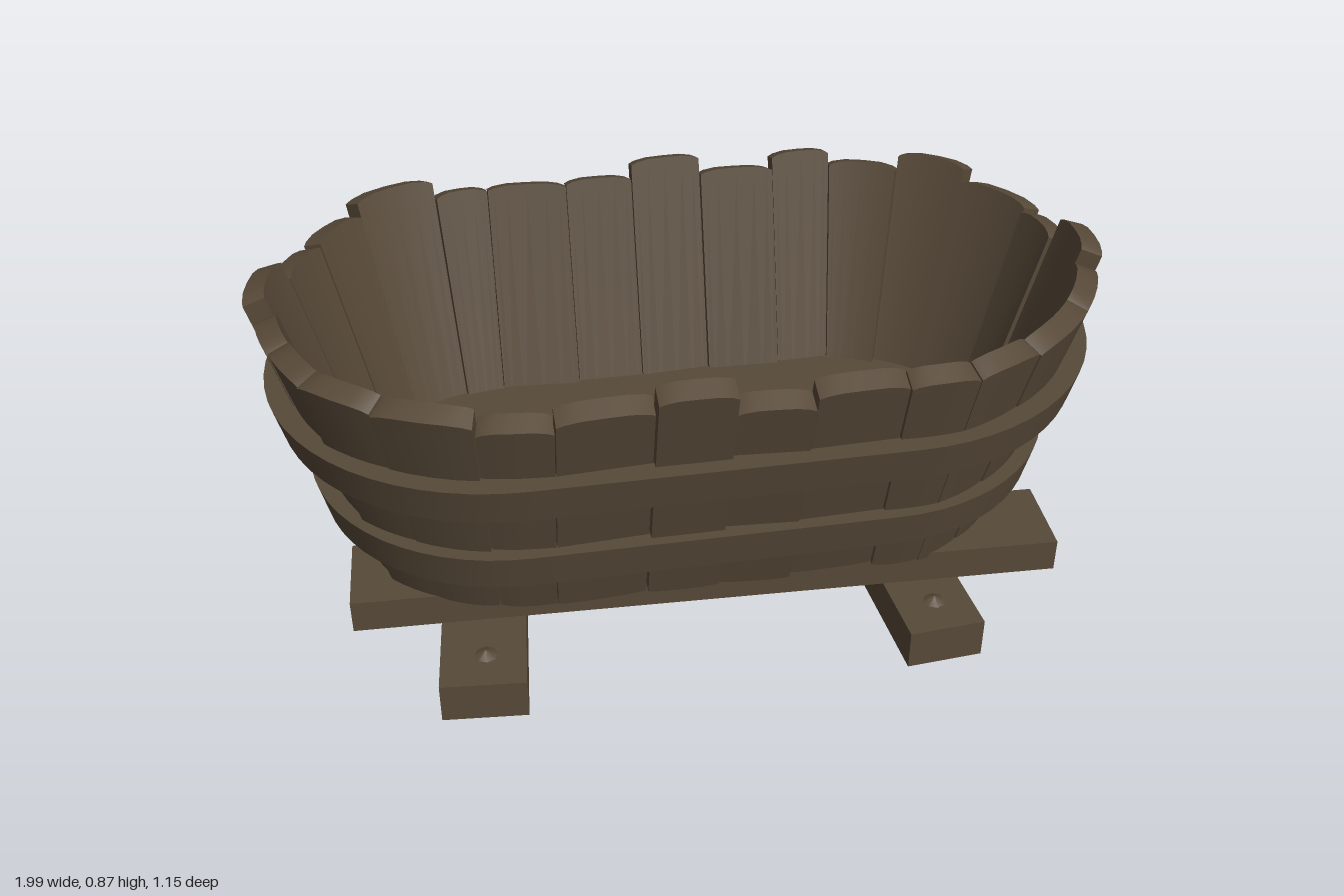
import * as THREE from 'three';
import { toCreasedNormals } from 'three/addons/utils/BufferGeometryUtils.js';

const HALF = 0.42; // half length of the straight sides

// Point on a stadium outline of radius r. s: 0-84 front, 84-264 right end (degrees),
// 264-348 back, 348-528 left end (degrees).
function outline(s, r, y) {
  s = (s + 528) % 528;
  if (s < 84) return [s / 100 - HALF, y, r];
  if (s < 264) {
    const a = THREE.MathUtils.degToRad(s - 84);
    return [HALF + r * Math.sin(a), y, r * Math.cos(a)];
  }
  if (s < 348) return [HALF - (s - 264) / 100, y, -r];
  const a = THREE.MathUtils.degToRad(s - 348);
  return [-HALF - r * Math.sin(a), y, -r * Math.cos(a)];
}

// Outer wall radius at a height
const wall = (y) => 0.38 + (y - 0.2) * 0.283;

// Skins four-cornered cross-sections (outer bottom, outer top, inner top, inner bottom)
function loft(sections, closed) {
  const pos = [];
  const tri = (a, b, c) => pos.push(...a, ...b, ...c);
  const n = sections.length;
  for (let i = 0; i < (closed ? n : n - 1); i++) {
    const p = sections[i], q = sections[(i + 1) % n];
    for (let k = 0; k < 4; k++) {
      const l = (k + 1) % 4;
      tri(p[k], q[k], q[l]);
      tri(p[k], q[l], p[l]);
    }
  }
  if (!closed) {
    const p = sections[0], q = sections[n - 1];
    tri(p[0], p[1], p[2]); tri(p[0], p[2], p[3]);
    tri(q[0], q[2], q[1]); tri(q[0], q[3], q[2]);
  }
  const g = new THREE.BufferGeometry();
  g.setAttribute('position', new THREE.Float32BufferAttribute(pos, 3));
  return toCreasedNormals(g, 0.5);
}

// One slanting stave from s0 to s1; skew pushes one edge out and the other in
function staveGeometry(s0, s1, top, bottom, offset, skew) {
  const a = s0 + 0.12, b = s1 - 0.12;
  const thick = 0.055;
  const steps = [0, 0.08, 0.25, 0.5, 0.75, 0.92, 1];
  return loft(steps.map((t) => {
    const s = a + (b - a) * t;
    const drop = 0.012 * Math.pow(Math.abs(2 * t - 1), 4);
    const yo = top - 0.018 - drop, yi = top - drop;
    const yb = bottom + drop * 0.5, yc = yb + 0.012;
    const o = offset + skew * (2 * t - 1);
    return [
      outline(s, wall(yb) + o, yb),
      outline(s, wall(yo) + o, yo),
      outline(s, wall(yi) + o - thick, yi),
      outline(s, wall(yc) + o - thick, yc),
    ];
  }), false);
}

// Hoop around the wall, r0 and r1 being its outer radii at the heights y0 and y1
function hoopGeometry(y0, r0, y1, r1) {
  const sections = [];
  for (let s = 0; s < 528; s += 6) {
    sections.push([
      outline(s, r0, y0), outline(s, r1, y1),
      outline(s, wall(y1) - 0.01, y1), outline(s, wall(y0) - 0.01, y0),
    ]);
  }
  return loft(sections, true);
}

export function createModel() {
  const model = new THREE.Group();
  const wood = new THREE.MeshStandardMaterial({ color: 0x574938 });
  wood.name = 'dark wood';

  const add = (geometry, name, x = 0, y = 0, z = 0, turn = 0) => {
    const mesh = new THREE.Mesh(geometry, wood);
    mesh.name = name;
    mesh.position.set(x, y, z);
    mesh.rotation.y = turn;
    model.add(mesh);
    return mesh;
  };

  // Staves: start along the outline, top height
  const staves = [
    [6, 0.835], [27, 0.872], [44, 0.81], [61, 0.84], [81, 0.84], [97, 0.842], [115, 0.84],
    [140, 0.835], [161, 0.872], [178, 0.825], [194, 0.835], [217, 0.865],
    [237, 0.835], [257, 0.862], [273, 0.835], [292, 0.872], [310, 0.835], [327, 0.835],
    [347, 0.835], [362, 0.872], [385, 0.84], [403, 0.83], [421, 0.872], [439, 0.83],
    [455, 0.835], [474, 0.85], [494, 0.845], [517, 0.815],
  ];
  staves.forEach(([s, top], i) => {
    const next = i + 1 < staves.length ? staves[i + 1][0] : 528 + staves[0][0];
    const bottom = 0.189 + 0.004 * ((i * 3) % 5);
    const offset = top > 0.86 ? 0.007 : 0.003 * ((i * 2) % 3) - 0.003;
    const skew = 0.003 * (((i * 2) % 5) - 2);
    add(staveGeometry(s, next, top, bottom, offset, skew), 'stave');
  });

  // Hoops
  add(hoopGeometry(0.56, 0.53, 0.655, 0.555), 'upperHoop');
  add(hoopGeometry(0.315, 0.456, 0.41, 0.479), 'lowerHoop', 0, 0, -0.008);

  // Tub floor
  const r = 0.372;
  const shape = new THREE.Shape();
  shape.moveTo(-HALF, -r);
  shape.lineTo(HALF, -r);
  shape.absarc(HALF, 0, r, -Math.PI / 2, Math.PI / 2, false);
  shape.lineTo(-HALF, r);
  shape.absarc(-HALF, 0, r, Math.PI / 2, Math.PI * 1.5, false);
  const floor = new THREE.ExtrudeGeometry(shape, { depth: 0.07, bevelEnabled: false, curveSegments: 24 });
  floor.rotateX(-Math.PI / 2);
  add(floor, 'tubFloor', 0, 0.25, 0);

  // Long runners, slightly askew
  add(new THREE.BoxGeometry(1.695, 0.083, 0.216), 'frontRunner', 0.017, 0.16, 0.232, -0.042);
  add(new THREE.BoxGeometry(1.695, 0.083, 0.216), 'backRunner', 0.017, 0.16, -0.215, 0.035);

  // Cross beams on the ground
  add(new THREE.BoxGeometry(0.184, 0.1, 1.085), 'leftCrossBeam', 0.498, 0.069, 0, 0.073);
  add(new THREE.BoxGeometry(0.198, 0.1, 1.085), 'rightCrossBeam', -0.502, 0.069, 0, -0.09);

  // Low peg heads under and over the cross beams
  const peg = new THREE.ConeGeometry(0.036, 0.019, 8);
  for (const x of [-0.5, 0.5]) {
    for (const z of [0.26, -0.21]) {
      add(peg, 'lowerPeg', x + Math.sign(x) * z * 0.08, 0.0095, z).rotation.x = Math.PI;
    }
    for (const z of [0.44, -0.45]) {
      add(peg, 'upperPeg', x + Math.sign(x) * z * 0.08, 0.124, z);
    }
  }

  return model;
}
